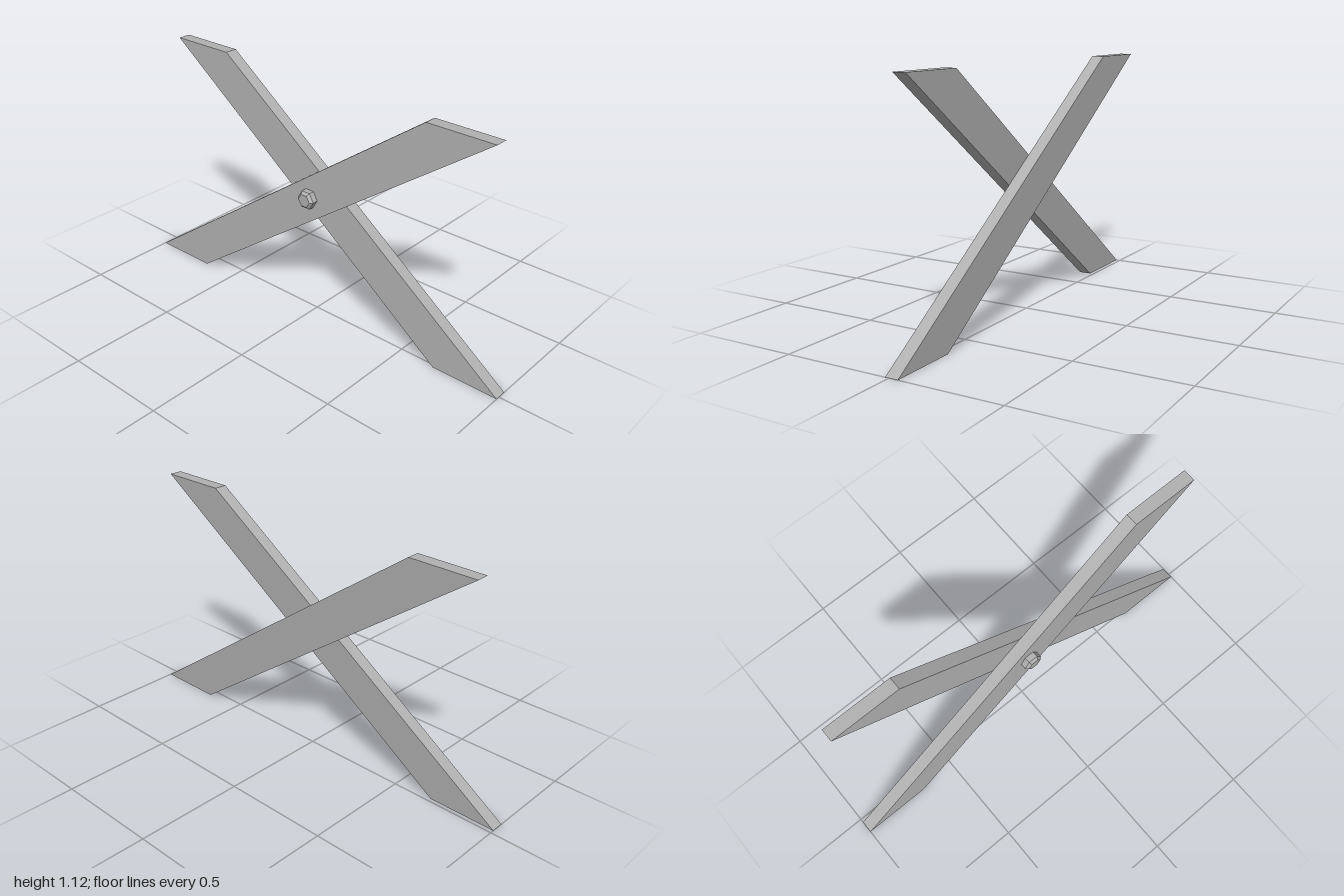
import * as THREE from 'three';

const HEIGHT = 1.118, LEAN = 0.048, THICK = 0.059;

// Recompute crisp per-face normals
function faceted(geometry) {
  const g = geometry.index ? geometry.toNonIndexed() : geometry;
  g.computeVertexNormals();
  return g;
}

// Slanted plank with level ends, leaning back as it rises
function plankGeometry(side, zBack) {
  const corners = [[-1, 0], [-0.68, 0], [0.9, HEIGHT], [0.58, HEIGHT]];
  const shape = new THREE.Shape(corners.map(([x, y]) => new THREE.Vector2(x * side, y)));
  const g = new THREE.ExtrudeGeometry(shape, { depth: THICK, bevelEnabled: false });
  const p = g.attributes.position;
  for (let i = 0; i < p.count; i++) {
    p.setZ(i, p.getZ(i) + zBack - LEAN * p.getY(i) / HEIGHT);
  }
  return faceted(g);
}

// Hexagonal prism or frustum facing +z, with corners on the x axis
function hexGeometry(rFront, rBack, zBack, zFront) {
  const g = new THREE.CylinderGeometry(rFront, rBack, zFront - zBack, 6);
  g.rotateY(Math.PI / 6).rotateX(Math.PI / 2).translate(0, 0.6, (zFront + zBack) / 2);
  return faceted(g);
}

export function createModel() {
  const model = new THREE.Group();
  model.name = 'crossedPlanks';
  const grey = new THREE.MeshStandardMaterial({ color: 0xb0b0b0 });
  grey.name = 'grey';

  const add = (name, geometry, parent = model) => {
    const mesh = new THREE.Mesh(geometry, grey);
    mesh.name = name;
    parent.add(mesh);
  };

  // Two crossing planks
  add('frontPlank', plankGeometry(1, 0.018));
  add('backPlank', plankGeometry(-1, -0.041));

  // Chamfered bolt head at the crossing
  const bolt = new THREE.Group();
  bolt.name = 'bolt';
  model.add(bolt);
  add('boltHead', hexGeometry(0.045, 0.045, 0.035, 0.077), bolt);
  add('boltChamfer', hexGeometry(0.032, 0.045, 0.077, 0.089), bolt);

  return model;
}
